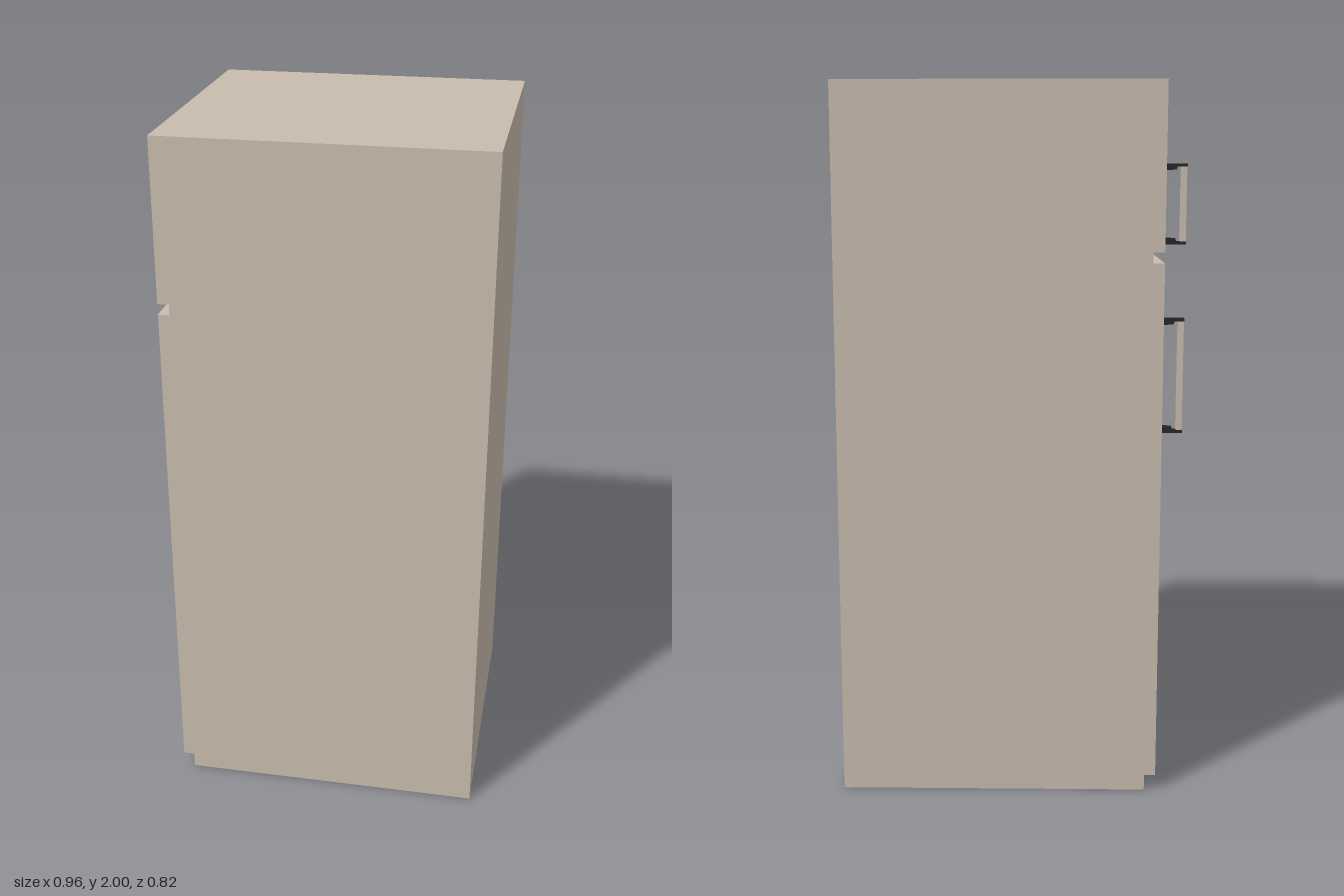
import * as THREE from 'three';

export function createModel() {
  const group = new THREE.Group();
  const enamel = new THREE.MeshStandardMaterial({ color: 0xc8bbad });
  enamel.name = 'beige enamel';
  const black = new THREE.MeshStandardMaterial({ color: 0x262626 });
  black.name = 'black plastic';

  const DEPTH = 0.412; // half width of the cabinet along z
  const HANDLE_Z = -0.345;

  // Box given by its limits on each axis
  function box(name, material, [x0, x1], [y0, y1], [z0, z1], parent = group) {
    const mesh = new THREE.Mesh(new THREE.BoxGeometry(x1 - x0, y1 - y0, z1 - z0), material);
    mesh.position.set((x0 + x1) / 2, (y0 + y1) / 2, (z0 + z1) / 2);
    mesh.name = name;
    parent.add(mesh);
    return mesh;
  }

  // Cabinet, its doors facing -x
  const across = [-DEPTH, DEPTH];
  box('cabinet', enamel, [-0.387, 0.48], [0, 2], across);

  // Each door: seal, panel and a handle held by two brackets
  function door(name, y, handleY) {
    const g = new THREE.Group();
    g.name = name;
    box('doorSeal', enamel, [-0.402, -0.387], y, across, g);
    box('doorPanel', enamel, [-0.419, -0.402], y, across, g);

    const [low, high] = handleY;
    box('handleBar', enamel, [-0.479, -0.463], [low + 0.007, high - 0.007],
      [HANDLE_Z - 0.011, HANDLE_Z + 0.011], g);

    // Bracket: thin arm with a thicker foot against the door
    const profile = new THREE.Shape([
      [-0.48, 0], [-0.419, 0], [-0.419, 0.018], [-0.45, 0.016], [-0.453, 0.008], [-0.48, 0.008],
    ].map(([px, py]) => new THREE.Vector2(px, py)));
    const bracket = new THREE.ExtrudeGeometry(profile, { depth: 0.025, bevelEnabled: false });
    bracket.translate(0, 0, -0.0125);
    const lower = new THREE.Mesh(bracket, black);
    lower.name = 'lowerBracket';
    lower.position.set(0, low, HANDLE_Z);
    const upper = new THREE.Mesh(bracket.clone().rotateX(Math.PI), black);
    upper.name = 'upperBracket';
    upper.position.set(0, high, HANDLE_Z);
    g.add(lower, upper);
    group.add(g);
  }

  door('freezerDoor', [1.545, 2], [1.563, 1.78]);
  door('fridgeDoor', [0.045, 1.515], [1.04, 1.36]);

  return group;
}
